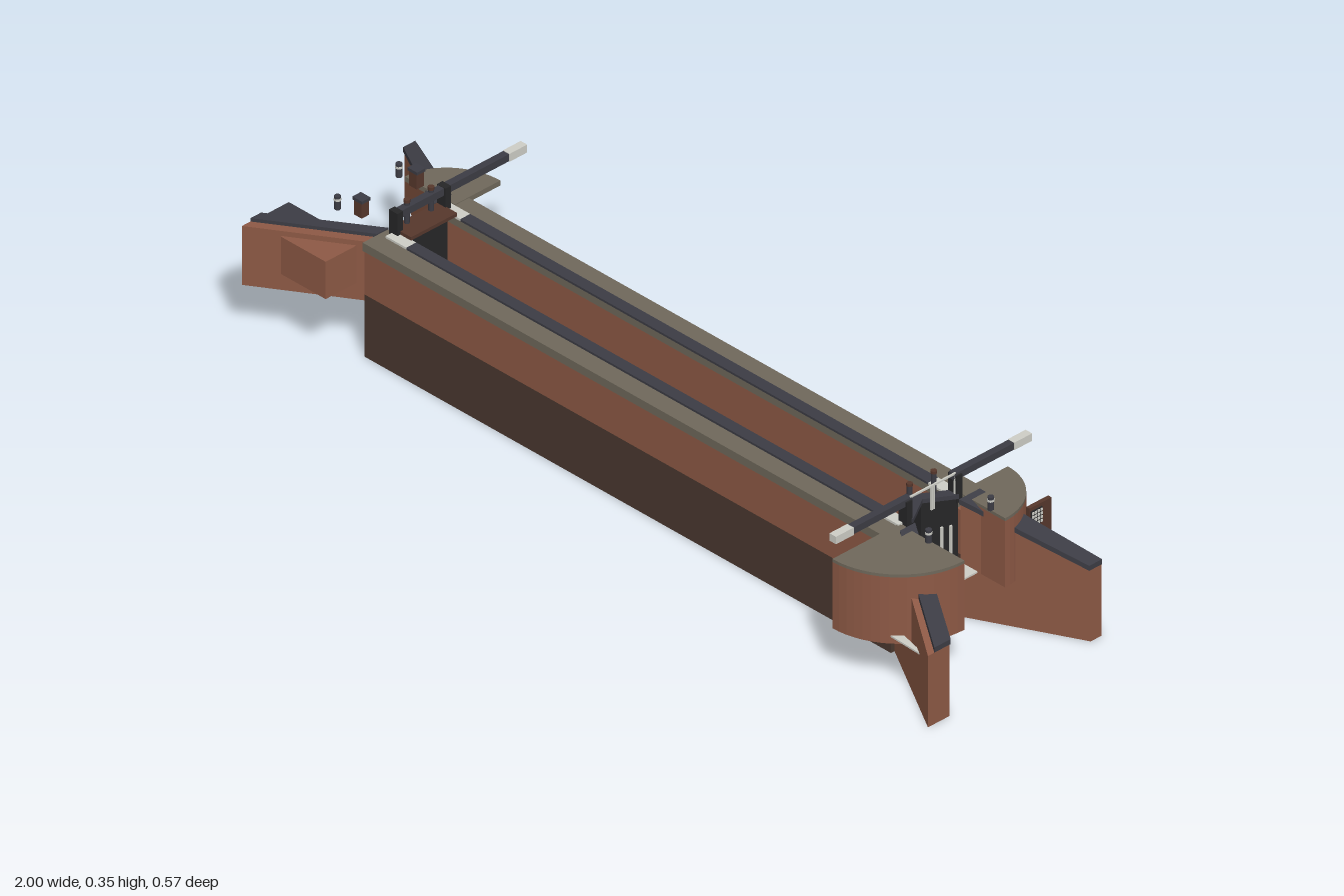
import * as THREE from 'three';

const mat = (name, color) => {
  const m = new THREE.MeshStandardMaterial({ color });
  m.name = name;
  return m;
};

export function createModel() {
  const brick = mat('brick', 0x8d5945);
  const wetBrick = mat('wet brick', 0x4a382f);
  const stone = mat('coping stone', 0x6f685b);
  const black = mat('black timber', 0x262627);
  const iron = mat('dark iron', 0x3c3c44);
  const white = mat('white paint', 0xcdcdc6);
  const wood = mat('brown plank', 0x56372c);

  const root = new THREE.Group();
  root.name = 'canalLock';

  const add = (name, geo, material) => {
    const m = new THREE.Mesh(geo, material);
    m.name = name;
    root.add(m);
    return m;
  };
  // box from its min and max corners
  const box = (name, material, x0, x1, y0, y1, z0, z1) => {
    const g = new THREE.BoxGeometry(x1 - x0, y1 - y0, z1 - z0);
    g.translate((x0 + x1) / 2, (y0 + y1) / 2, (z0 + z1) / 2);
    return add(name, g, material);
  };
  // four-sided wall: a is its far side and b its near side, each [x, z] from low x to high x;
  // low and high give bottom and top heights at the two ends
  const wall = (name, material, a, b, low, high) => {
    const g = new THREE.BoxGeometry(1, 1, 1);
    const p = g.attributes.position;
    for (let i = 0; i < p.count; i++) {
      const u = p.getX(i) > 0 ? 1 : 0;
      const side = p.getZ(i) > 0 ? b : a;
      p.setXYZ(i, side[u][0], (p.getY(i) > 0 ? high : low)[u], side[u][1]);
    }
    const flat = g.toNonIndexed();
    flat.computeVertexNormals();
    return add(name, flat, material);
  };
  // quarter of an ellipse in plan, reaching rx and rz from its corner
  const quarter = (name, material, cx, cz, rx, rz, y0, y1) => {
    const pts = [new THREE.Vector2(cx, -cz)];
    for (let i = 0; i <= 16; i++) {
      const t = (i / 16) * Math.PI / 2;
      pts.push(new THREE.Vector2(cx + rx * Math.cos(t), -(cz + rz * Math.sin(t))));
    }
    const g = new THREE.ExtrudeGeometry(new THREE.Shape(pts), { depth: y1 - y0, bevelEnabled: false });
    g.rotateX(-Math.PI / 2).translate(0, y0, 0);
    return add(name, g, material);
  };
  const post = (name, material, x, y0, y1, z, r) => {
    const g = new THREE.CylinderGeometry(r, r, y1 - y0, 10);
    g.translate(x, (y0 + y1) / 2, z);
    return add(name, g, material);
  };

  // chamber walls, open below, about the channel centre
  const mid = 0.01;
  for (const s of [1, -1]) {
    const span = (p, q) => [mid + s * p, mid + s * q].sort((m, n) => m - n);
    box('lowerWall', wetBrick, -0.78, 0.75, 0, 0.15, ...span(0.065, 0.13));
    box('upperWall', brick, -0.78, 0.75, 0.15, 0.257, ...span(0.065, 0.13));
    box('coping', stone, -0.78, 0.74, 0.257, 0.277, ...span(0.065, 0.135));
    box('edging', iron, -0.70, 0.66, 0.277, 0.282, ...span(0.062, 0.09));
    box('edgingEndLeft', white, 0.66, 0.73, 0.277, 0.282, ...span(0.062, 0.09));
    box('edgingEndRight', white, -0.76, -0.70, 0.277, 0.282, ...span(0.062, 0.09));
  }

  // lower wing walls, falling outward, with dark caps
  const lowerWing = (a, b, ca, cb) => {
    wall('lowerWing', brick, a, b, [0, 0], [0.272, 0.172]);
    wall('lowerWingCap', iron, ca, cb, [0.272, 0.172], [0.284, 0.184]);
  };
  lowerWing([[0.75, 0.075], [1, 0.218]], [[0.75, 0.13], [1, 0.278]],
    [[0.75, 0.072], [1, 0.214]], [[0.75, 0.115], [1, 0.26]]);
  lowerWing([[0.75, -0.11], [1, -0.21]], [[0.75, -0.055], [1, -0.18]],
    [[0.75, -0.11], [1, -0.212]], [[0.75, -0.052], [1, -0.176]]);

  // upper wing walls
  wall('upperWing', brick, [[-1, 0.222], [-0.78, 0.075]], [[-1, 0.272], [-0.78, 0.13]], [0.13, 0.13], [0.272, 0.272]);
  wall('upperWingCap', iron, [[-1, 0.218], [-0.78, 0.072]], [[-1, 0.248], [-0.78, 0.105]], [0.272, 0.272], [0.28, 0.28]);
  wall('upperWing', brick, [[-1, -0.218], [-0.78, -0.11]], [[-1, -0.185], [-0.78, -0.055]], [0.13, 0.13], [0.245, 0.272]);
  wall('upperWingCap', iron, [[-1, -0.216], [-0.78, -0.105]], [[-1, -0.182], [-0.78, -0.052]], [0.245, 0.272], [0.257, 0.28]);
  box('buttress', brick, -0.93, -0.80, 0.17, 0.26, 0.13, 0.23);
  wall('bankPlate', iron, [[-1, 0.14], [-0.87, 0.14]], [[-1, 0.222], [-0.87, 0.146]], [0.262, 0.262], [0.27, 0.27]);

  // rounded abutments with paved tops
  quarter('frontAbutment', brick, 0.725, 0.093, 0.19, 0.188, 0.112, 0.272);
  quarter('frontPaving', stone, 0.725, 0.093, 0.19, 0.188, 0.272, 0.279);
  quarter('backAbutment', brick, 0.725, -0.075, 0.135, -0.138, 0.112, 0.272);
  quarter('backPaving', stone, 0.725, -0.075, 0.135, -0.138, 0.272, 0.279);
  quarter('upperPaving', stone, -0.75, -0.085, -0.145, -0.128, 0.267, 0.279);
  for (const g of root.children) {
    // mirrored outlines keep their outward faces because the extrusion reorders the contour
    if (g.name.endsWith('Paving')) g.renderOrder = 0;
  }

  // lower mitre gates
  for (const s of [1, -1]) {
    const hinge = mid + s * 0.065;
    const lo = Math.min(hinge, mid), hi = Math.max(hinge, mid);
    const xl = s > 0 ? 0.685 : 0.725, xh = s > 0 ? 0.725 : 0.685;
    // leaf runs across z, so near and far sides are its two ends
    wall('gateLeaf', black, [[xl, lo], [xl + 0.018, lo]], [[xh, hi], [xh + 0.018, hi]], [0.015, 0.015], [0.282, 0.282]);
    wall('gateWalkway', iron, [[xl - 0.004, lo], [xl + 0.022, lo]], [[xh - 0.004, hi], [xh + 0.022, hi]], [0.282, 0.282], [0.292, 0.292]);
    const z = d => mid + s * d;
    const beam = (name, m, p, q, e) => box(name, m, 0.722 - e, 0.739 + e, 0.324 - e, 0.34 + e,
      Math.min(z(p), z(q)), Math.max(z(p), z(q)));
    const end = s > 0 ? 0.275 : 0.277;
    beam('balanceBeam', iron, 0.06, end - 0.05, 0);
    beam('balanceBeamTip', white, end - 0.05, end, 0.001);
    box('heelPost', black, 0.718, 0.743, 0.27, 0.335, z(0.07) - 0.008, z(0.07) + 0.008);
    post('paddleGear', iron, 0.705, 0.285, 0.34, z(0.034), 0.006);
    post('paddleGearTop', wood, 0.705, 0.34, 0.346, z(0.034), 0.007);
    // hand rail and leaking water
    for (const d of [0.003, 0.062]) box('railPost', white, 0.735, 0.739, 0.282, 0.34, z(d) - 0.002, z(d) + 0.002);
    box('handRail', white, 0.735, 0.739, 0.338, 0.342, Math.min(z(0), z(0.064)), Math.max(z(0), z(0.064)));
  }
  [[0.052, 0.23], [0.022, 0.222], [-0.012, 0.23], [-0.038, 0.222]].forEach(([z, top]) =>
    box('waterJet', white, 0.738, 0.742, 0.13, top, z - 0.003, z + 0.003));
  box('foam', white, 0.73, 0.80, 0.128, 0.132, -0.055, 0.075);

  // single upper gate with its plank and beam
  box('upperGate', black, -0.765, -0.74, 0.13, 0.282, -0.055, 0.075);
  box('upperWalkway', wood, -0.768, -0.712, 0.282, 0.29, -0.055, 0.075);
  box('upperBeam', iron, -0.764, -0.747, 0.317, 0.334, -0.235, 0.08);
  box('upperBeamTip', white, -0.765, -0.746, 0.316, 0.335, -0.285, -0.235);
  for (const z of [-0.06, 0.075]) box('upperHeelPost', black, -0.768, -0.743, 0.27, 0.335, z - 0.008, z + 0.008);
  for (const z of [-0.025, 0.043]) {
    post('upperPaddleGear', iron, -0.757, 0.285, 0.34, z, 0.006);
    post('upperPaddleGearTop', wood, -0.757, 0.34, 0.347, z, 0.007);
  }

  // bollards and paddle stands
  for (const [x, z] of [[-0.905, 0.095], [-0.905, -0.078], [0.815, 0.097], [0.815, -0.078]]) {
    post('bollard', iron, x, 0.278, 0.31, z, 0.007);
    post('bollardBand', white, x, 0.299, 0.304, z, 0.0078);
  }
  for (const z of [0.08, -0.075]) {
    box('paddleStand', wood, -0.862, -0.84, 0.282, 0.318, z - 0.01, z + 0.01);
    box('paddleStandTop', iron, -0.865, -0.837, 0.318, 0.325, z - 0.012, z + 0.012);
  }

  // side outlet, its foam, and the pierced panel on the back abutment
  box('outlet', iron, 0.88, 0.89, 0.13, 0.165, 0.160, 0.166);
  wall('outletFoam', white, [[0.84, 0.21], [0.93, 0.232]], [[0.84, 0.236], [0.94, 0.24]], [0.128, 0.128], [0.132, 0.132]);
  box('panel', black, 0.845, 0.85, 0.215, 0.252, -0.19, -0.158);
  for (let i = 0; i < 4; i++) for (let j = 0; j < 4; j++) {
    const y = 0.2195 + i * 0.009, z = -0.186 + j * 0.008;
    box('panelDot', white, 0.85, 0.852, y - 0.0028, y + 0.0028, z - 0.0025, z + 0.0025);
  }
  box('fender', wood, 0.838, 0.848, 0.125, 0.26, -0.217, -0.155);

  return root;
}
